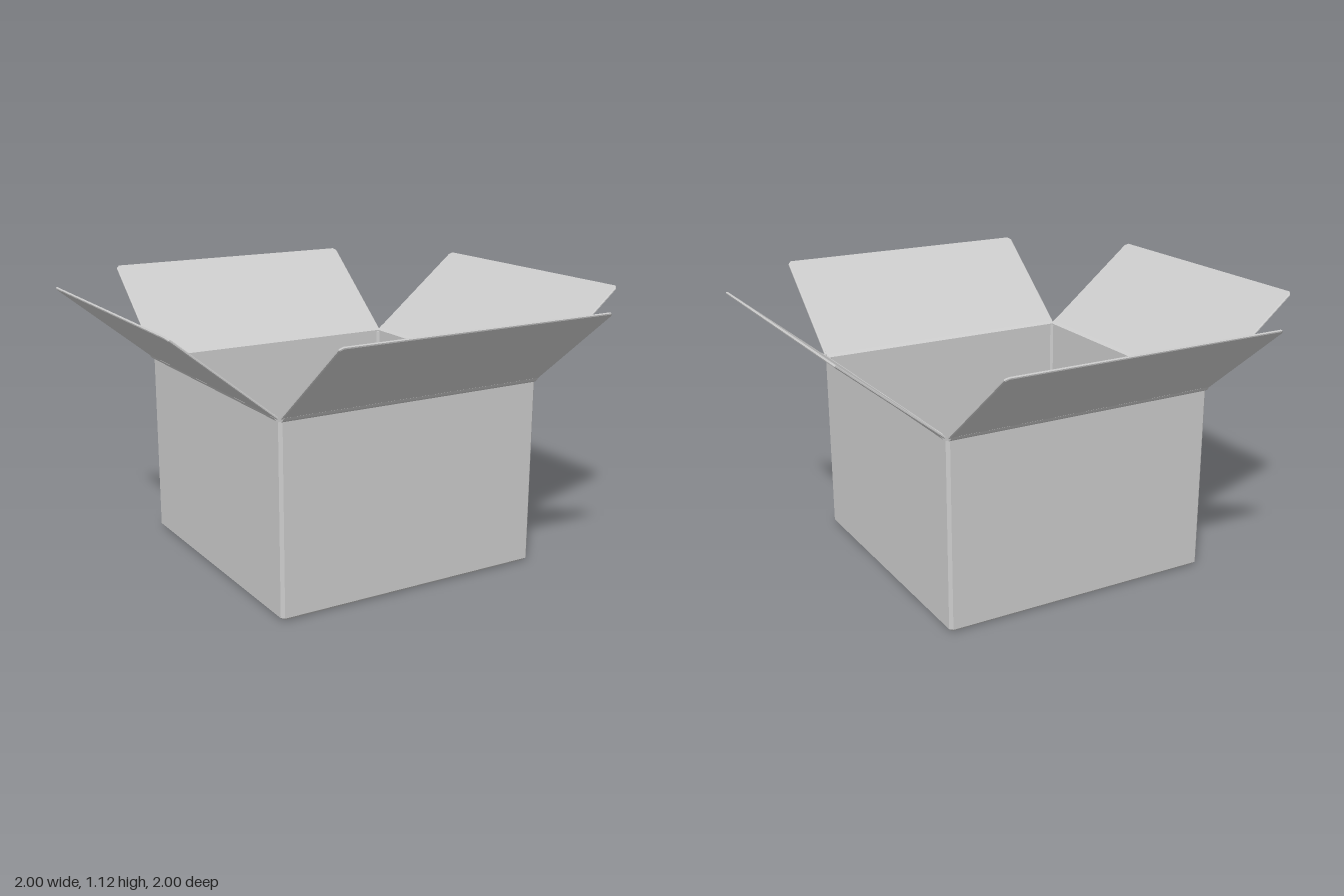
import * as THREE from 'three';

const HALF = 0.582, INNER = 0.567, WALL_TOP = 0.772;

// Square outline with clipped corners
function clippedSquare(h, c, Type = THREE.Shape) {
  return new Type([
    [h - c, -h], [h, -h + c], [h, h - c], [h - c, h],
    [-h + c, h], [-h, h - c], [-h, -h + c], [-h + c, -h],
  ].map(([x, y]) => new THREE.Vector2(x, y)));
}

function polygon(points) {
  return new THREE.Shape(points.map(([x, y]) => new THREE.Vector2(x, y)));
}

export function createModel() {
  const model = new THREE.Group();
  model.name = 'openBox';
  const material = new THREE.MeshStandardMaterial({ color: 0xcccccc, flatShading: true });
  const add = (parent, geometry, name) => {
    const mesh = new THREE.Mesh(geometry, material);
    mesh.name = name;
    parent.add(mesh);
    return mesh;
  };

  // Four walls as one square tube with clipped vertical edges
  const wallShape = clippedSquare(HALF, 0.012);
  wallShape.holes.push(clippedSquare(INNER, 0.01, THREE.Path));
  const walls = new THREE.ExtrudeGeometry(wallShape, { depth: WALL_TOP - 0.012, bevelEnabled: false });
  walls.rotateX(-Math.PI / 2).translate(0, 0.012, 0);
  add(model, walls, 'walls');

  // Floor plate with a chamfered lower edge
  const floor = new THREE.ExtrudeGeometry(clippedSquare(HALF - 0.012, 0.008), {
    depth: 0.001, bevelThickness: 0.0115, bevelSize: 0.012, bevelSegments: 1,
  });
  floor.rotateX(-Math.PI / 2).translate(0, 0.0115, 0);
  add(model, floor, 'floor');

  // Bent fold strip between wall and flap: (outward, up) profile
  const fold = new THREE.ExtrudeGeometry(polygon([
    [INNER, WALL_TOP - 0.002], [HALF, WALL_TOP - 0.002], [0.594, 0.778], [0.602, 0.79],
    [0.594, 0.799], [0.583, 0.79], [INNER, 0.778],
  ]), { depth: 2 * HALF - 0.014, bevelEnabled: false });
  fold.translate(0, 0, -HALF + 0.007).rotateY(-Math.PI / 2);

  // Flap panel with small chamfers along its free edges
  const w = 0.576, length = 0.521, c = 0.012;
  const flap = new THREE.ExtrudeGeometry(polygon([
    [-w, 0], [w, 0], [w, length - c], [w - c, length], [-w + c, length], [-w, length - c],
  ]), { depth: 0.004, bevelThickness: 0.003, bevelSize: 0.004, bevelSegments: 1 });
  flap.translate(0, 0, -0.002).rotateX(THREE.MathUtils.degToRad(50.8)).translate(0, 0.787, 0.59);

  ['front', 'left', 'back', 'right'].forEach((side, i) => {
    const group = new THREE.Group();
    group.name = side + 'Flap';
    group.rotation.y = i * Math.PI / 2;
    add(group, fold, side + 'Fold');
    add(group, flap, side + 'Panel');
    model.add(group);
  });

  return model;
}
